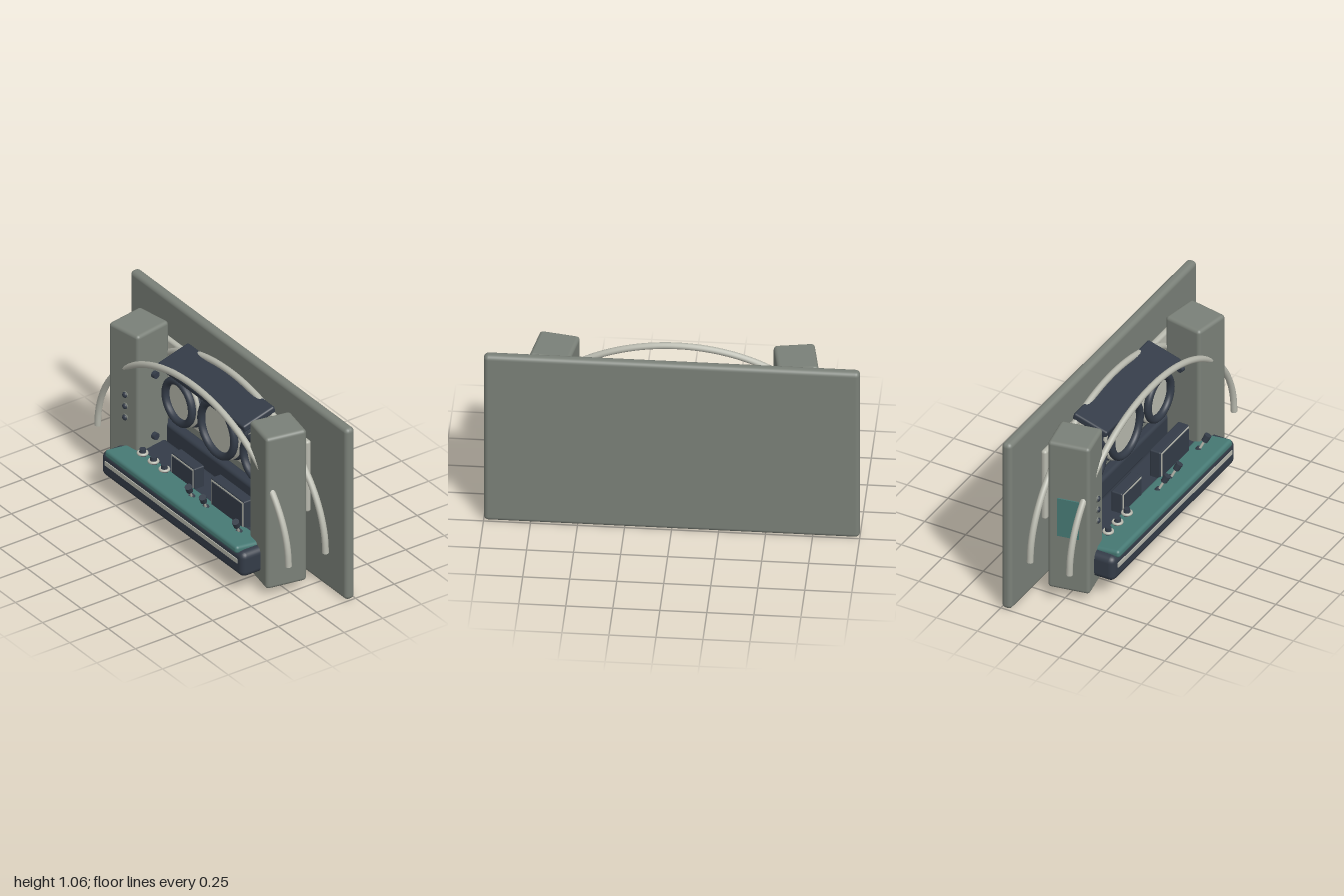
import * as THREE from 'three';
import { RoundedBoxGeometry } from 'three/addons/geometries/RoundedBoxGeometry.js';

const paint = (name, color) => Object.assign(new THREE.MeshStandardMaterial({ color }), { name });

export function createModel() {
  const grey = paint('hull grey', 0x7a8078);
  const dark = paint('dark slate', 0x343c48);
  const cream = paint('pale trim', 0xb8b9ae);
  const teal = paint('teal pad', 0x477a75);

  const model = new THREE.Group();
  model.name = 'cockpitConsole';

  const add = (name, geo, mat, x = 0, y = 0, z = 0, parent = model) => {
    const mesh = new THREE.Mesh(geo, mat);
    mesh.name = name;
    mesh.position.set(x, y, z);
    parent.add(mesh);
    return mesh;
  };
  const rbox = (w, h, d, r) => new RoundedBoxGeometry(w, h, d, 3, r);
  const group = (name, x, y, z) => {
    const g = new THREE.Group();
    g.name = name;
    g.position.set(x, y, z);
    model.add(g);
    return g;
  };

  // Rear wall, pale instrument plate and the dark ledge under it
  add('rearWall', rbox(2, 1.06, 0.06, 0.025), grey, 0, 0.53, -0.22);
  add('instrumentPlate', rbox(1.36, 0.44, 0.034, 0.015), cream, 0, 0.62, -0.174);
  add('rearLedge', rbox(1.2, 0.135, 0.065, 0.02), dark, 0, 0.288, -0.15);

  // Angled pillars with stubs on their inner faces
  for (const s of [-1, 1]) {
    const pillar = group(s < 0 ? 'rightPillar' : 'leftPillar', s * 0.642, 0.517, 0);
    pillar.rotation.y = -s * 0.18;
    add('pillarBody', rbox(0.22, 0.935, 0.237, 0.02), grey, 0, 0, 0, pillar);
    for (const y of [0.19, -0.19]) {
      const stub = add('pillarStub', new THREE.CylinderGeometry(0.02, 0.02, 0.04, 16), dark,
        -s * 0.115, y, 0, pillar);
      stub.rotation.z = Math.PI / 2;
    }
    if (s > 0) continue;
    // Push buttons and the teal side panel
    for (const y of [-0.067, 0.003, 0.073]) {
      const rim = add('buttonRim', new THREE.CylinderGeometry(0.02, 0.02, 0.008, 20), grey, 0.017, y, 0.12, pillar);
      const button = add('button', new THREE.SphereGeometry(0.017, 16, 10), dark, 0.017, y, 0.122, pillar);
      rim.rotation.x = Math.PI / 2;
      button.scale.z = 0.8;
    }
    add('sidePanel', new THREE.BoxGeometry(0.009, 0.24, 0.12), teal, -0.113, 0, 0, pillar);
  }

  // Two half-ellipse hoops passing through the pillars
  const hoopPoints = [];
  for (let i = 0; i <= 24; i++) {
    const a = (i / 24) * Math.PI;
    hoopPoints.push(new THREE.Vector3(-0.88 * Math.cos(a), 0.26 + 0.685 * Math.sin(a), 0));
  }
  const hoopGeo = new THREE.TubeGeometry(new THREE.CatmullRomCurve3(hoopPoints), 72, 0.018, 12);
  for (const z of [0.1, -0.14]) {
    add('hoop', hoopGeo, cream, 0, 0, z);
    for (const s of [-1, 1]) {
      const cap = add('hoopEnd', new THREE.CircleGeometry(0.018, 12), cream, s * 0.88, 0.26, z);
      cap.rotation.x = Math.PI / 2;
    }
  }

  // Visor sloping down to the front
  const visor = add('visor', rbox(0.8, 0.042, 0.212, 0.012), dark, 0, 0.878, -0.052);
  visor.rotation.x = 0.28;

  // Round gauges: rear rim, pale ring, thick bezel, dial
  for (const [x, y, r] of [[-0.36, 0.604, 0.16], [0, 0.615, 0.19], [0.36, 0.604, 0.16]]) {
    const gauge = group('gauge', x, y, 0);
    const drum = add('gaugeDrum', new THREE.CylinderGeometry(r - 0.02, r - 0.02, 0.06, 48), dark, 0, 0, -0.13, gauge);
    drum.rotation.x = Math.PI / 2;
    add('gaugeRim', new THREE.TorusGeometry(r - 0.012, 0.012, 10, 48), dark, 0, 0, -0.12, gauge);
    add('gaugeRing', new THREE.TorusGeometry(r - 0.022, 0.012, 10, 48), cream, 0, 0, -0.088, gauge);
    add('gaugeBezel', new THREE.TorusGeometry(r - 0.038, 0.022, 12, 48), dark, 0, 0, -0.06, gauge);
    add('gaugeDial', new THREE.CircleGeometry(r - 0.035, 48), cream, 0, 0, -0.075, gauge);
  }

  // Console desk with padded edge and trim strip
  add('desk', rbox(1.31, 0.15, 0.36, 0.035), dark, 0, 0.19, 0.06);
  add('deskTrim', new THREE.BoxGeometry(1.22, 0.026, 0.008), cream, 0, 0.207, 0.241);
  const pad = add('deskPad', rbox(1.22, 0.045, 0.19, 0.018), teal, 0, 0.261, 0.154);
  pad.rotation.x = -0.12;

  // Two desk monitors with a thin pale outline
  for (const [x, w, top, z] of [[-0.147, 0.215, 0.39, 0.03], [0.285, 0.31, 0.43, 0.045]]) {
    const h = top - 0.25;
    const monitor = group('monitor', x, 0.25 + h / 2, z);
    add('monitorCase', rbox(w, h, 0.066, 0.008), dark, 0, 0, 0, monitor);
    add('monitorOutline', new THREE.BoxGeometry(w - 0.016, h - 0.016, 0.006), cream, 0, 0, 0.033, monitor);
    add('monitorScreen', new THREE.BoxGeometry(w - 0.032, h - 0.032, 0.006), dark, 0, 0, 0.036, monitor);
  }

  // Rotary knobs
  for (const x of [-0.465, -0.365, -0.265]) {
    const knob = group('knob', x, 0.285, 0.1);
    const collar = add('knobCollar', new THREE.TorusGeometry(0.024, 0.008, 8, 24), cream, 0, 0.008, 0, knob);
    collar.rotation.x = Math.PI / 2;
    add('knobCap', new THREE.CylinderGeometry(0.017, 0.02, 0.05, 20), dark, 0, 0.01, 0, knob);
  }

  // Levers leaning forward
  for (const [x, lean] of [[0.025, -0.25], [0.155, -0.25], [0.46, -0.25]]) {
    const lever = group('lever', x, 0.27, 0.125);
    lever.rotation.set(0.42, 0, lean);
    add('leverBase', new THREE.CylinderGeometry(0.018, 0.022, 0.02, 16), dark, 0, 0.005, 0, lever);
    add('leverStem', new THREE.CylinderGeometry(0.007, 0.007, 0.08, 10), cream, 0, 0.04, 0, lever);
    add('leverGrip', new THREE.CylinderGeometry(0.02, 0.018, 0.042, 16), dark, 0, 0.085, 0, lever);
  }

  return model;
}
